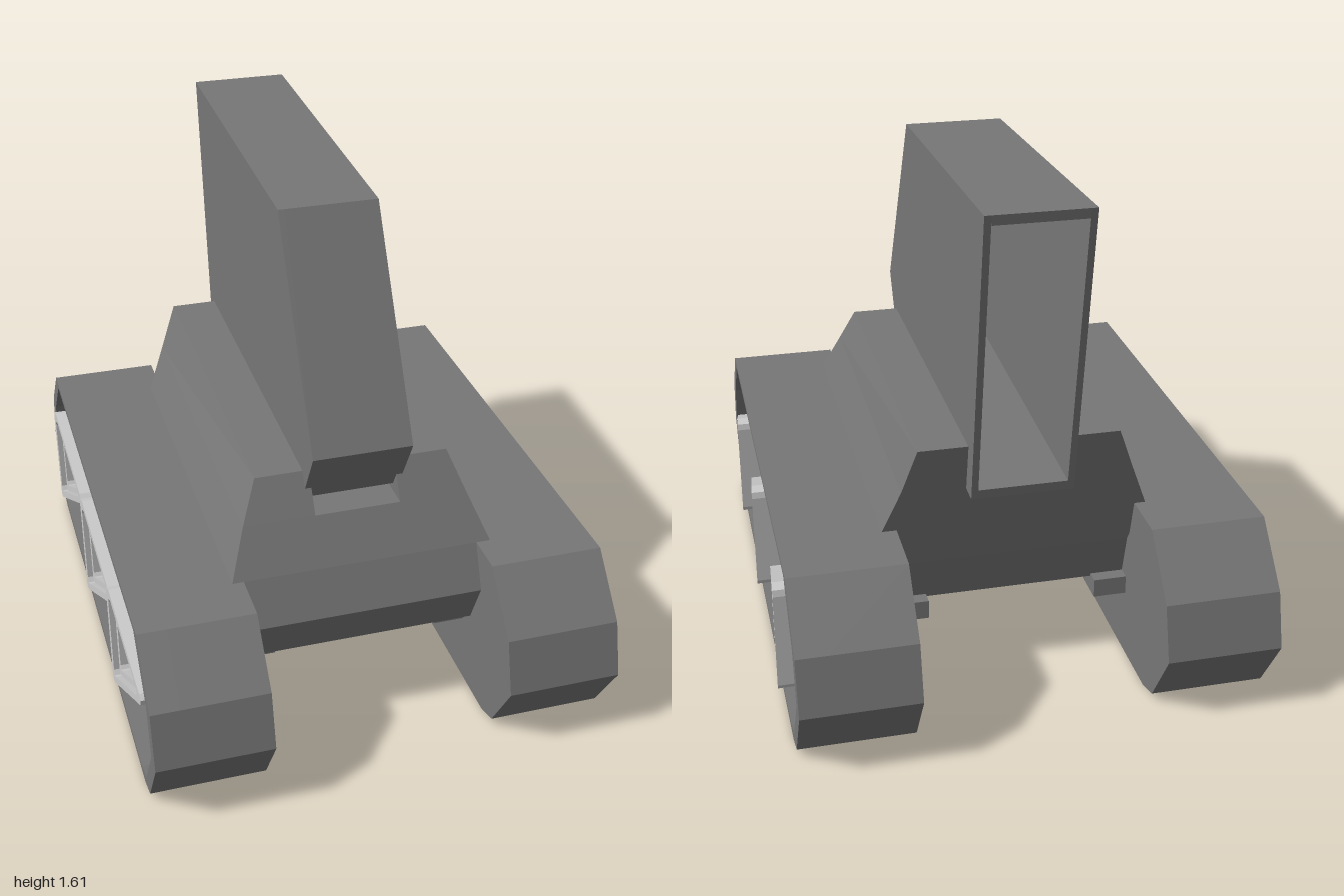
import * as THREE from 'three';

const dark = new THREE.MeshStandardMaterial({ color: 0x777777, flatShading: true, side: THREE.DoubleSide });
const light = new THREE.MeshStandardMaterial({ color: 0xcccccc, flatShading: true, side: THREE.DoubleSide });

function addMesh(parent, name, geometry, material) {
  const mesh = new THREE.Mesh(geometry, material);
  mesh.name = name;
  parent.add(mesh);
  return mesh;
}

// Extrude a [z, y] profile sideways from |x| = x0, outwards on side s (+1 left, -1 right)
function sidePlate(profile, x0, depth, s = 1, hole = null) {
  const points = (p) => p.map(([z, y]) => new THREE.Vector2(-s * z, y));
  const shape = new THREE.Shape(points(profile));
  if (hole) shape.holes.push(new THREE.Path(points(hole)));
  const g = new THREE.ExtrudeGeometry(shape, { depth, bevelEnabled: false });
  return g.rotateY(s * Math.PI / 2).translate(s * x0, 0, 0);
}

// Stack of four-cornered levels, bottom to top: [xRight, xLeft, yFront, zFront, yBack, zBack]
function loft(levels) {
  const pos = [], index = [];
  for (const [x0, x1, yf, zf, yb, zb] of levels) {
    pos.push(x0, yf, zf, x1, yf, zf, x1, yb, zb, x0, yb, zb);
  }
  for (let k = 0; k < levels.length - 1; k++) {
    for (let i = 0; i < 4; i++) {
      const a = k * 4 + i, b = k * 4 + (i + 1) % 4;
      index.push(a, b, b + 4, a, b + 4, a + 4);
    }
  }
  const t = (levels.length - 1) * 4;
  index.push(0, 2, 1, 0, 3, 2, t, t + 1, t + 2, t, t + 2, t + 3);
  const g = new THREE.BufferGeometry();
  g.setAttribute('position', new THREE.Float32BufferAttribute(pos, 3));
  g.setIndex(index);
  const flat = g.toNonIndexed();
  flat.computeVertexNormals();
  return flat;
}

// Scale a profile about a centre
const inset = (profile, [cz, cy], kz, ky = kz) =>
  profile.map(([z, y]) => [cz + (z - cz) * kz, cy + (y - cy) * ky]);

const TRACK = [
  [0.985, 0.22], [0.94, 0.39], [0.785, 0.56], [-0.785, 0.56], [-0.94, 0.39],
  [-0.985, 0.22], [-0.86, 0.025], [-0.78, 0], [0.78, 0], [0.86, 0.025],
];

function makeTrack(s) {
  const track = new THREE.Group();
  track.name = s > 0 ? 'leftTrack' : 'rightTrack';
  const inner = inset(TRACK, [0, 0.29], 0.94, 0.93);
  addMesh(track, 'trackCore', sidePlate(TRACK, 0.37, 0.265, s), dark);
  addMesh(track, 'trackRim', sidePlate(TRACK, 0.635, 0.09, s, inner), dark);
  track.position.set(-0.005, 0, -0.013 * s);
  return track;
}

// Triangular wheel pointing forward, its outer face sloping inwards to the tip
function makeWheel(s, back) {
  const wheel = new THREE.Group();
  wheel.name = 'triangularWheel';
  const outer = [
    [0.375, 0.29], [0.38, 0.31], [0.365, 0.325], [0.035, 0.47], [0.005, 0.46],
    [0, 0.44], [0.01, 0.125], [0.022, 0.107], [0.04, 0.112],
  ];
  const c = [0.125, 0.3];
  const mid = inset(outer, c, 0.82), hole = inset(outer, c, 0.66);
  const slope = (g) => {
    const p = g.attributes.position;
    for (let i = 0; i < p.count; i++) {
      if (Math.abs(p.getX(i)) > 0.66) p.setX(i, p.getX(i) - s * 0.028 * p.getZ(i) / 0.38);
    }
    g.computeVertexNormals();
    return g;
  };
  addMesh(wheel, 'wheelRim', slope(sidePlate(outer, 0.62, 0.133, s, mid)), light);
  addMesh(wheel, 'wheelStep', slope(sidePlate(mid, 0.62, 0.115, s, hole)), light);
  addMesh(wheel, 'wheelFloor', sidePlate(hole, 0.62, 0.06, s), light);
  wheel.position.set(-0.003, 0, back);
  return wheel;
}

export function createModel() {
  const model = new THREE.Group();
  model.name = 'trackedVehicle';

  // Hull: lower block, and two shoulders either side of a slot for the tower
  const hull = new THREE.Group();
  hull.name = 'hull';
  addMesh(hull, 'lowerHull', loft([
    [-0.37, 0.37, 0.27, 0.63, 0.27, -0.53],
    [-0.37, 0.37, 0.42, 0.70, 0.42, -0.57],
    [-0.41, 0.41, 0.56, 0.64, 0.56, -0.605],
    [-0.355, 0.355, 0.70, 0.56, 0.70, -0.635],
  ]), dark);
  addMesh(hull, 'rightShoulder', loft([
    [-0.355, -0.13, 0.70, 0.56, 0.70, -0.635],
    [-0.30, -0.13, 0.82, 0.49, 0.845, -0.665],
  ]), dark);
  addMesh(hull, 'leftShoulder', loft([
    [0.14, 0.355, 0.70, 0.56, 0.70, -0.635],
    [0.14, 0.31, 0.82, 0.49, 0.845, -0.665],
  ]), dark);
  for (const s of [1, -1]) {
    const rail = addMesh(hull, 'bottomRail', new THREE.BoxGeometry(0.105, 0.06, 1.15), dark);
    rail.position.set(s * 0.3175, 0.25, 0);
  }
  model.add(hull);

  // Tower: hollow box, open at the rear
  const tower = new THREE.Group();
  tower.name = 'tower';
  const profile = [
    [-0.85, 1.605], [0.23, 1.56], [0.6, 0.92], [0.49, 0.725], [-0.70, 0.69],
  ];
  const lining = [
    [-0.705, 0.72], [0.475, 0.755], [0.57, 0.92], [0.215, 1.535], [-0.846, 1.575],
  ];
  addMesh(tower, 'towerShell', sidePlate([...profile, ...lining], -0.13, 0.27), dark);
  addMesh(tower, 'towerRightWall', sidePlate(profile, -0.15, 0.02), dark);
  addMesh(tower, 'towerLeftWall', sidePlate(profile, 0.14, 0.02), dark);
  model.add(tower);

  // Tracks and their wheels on both sides
  for (const s of [1, -1]) {
    model.add(makeTrack(s));
    for (const back of [0.41, -0.1, -0.7]) model.add(makeWheel(s, back));
  }
  return model;
}
